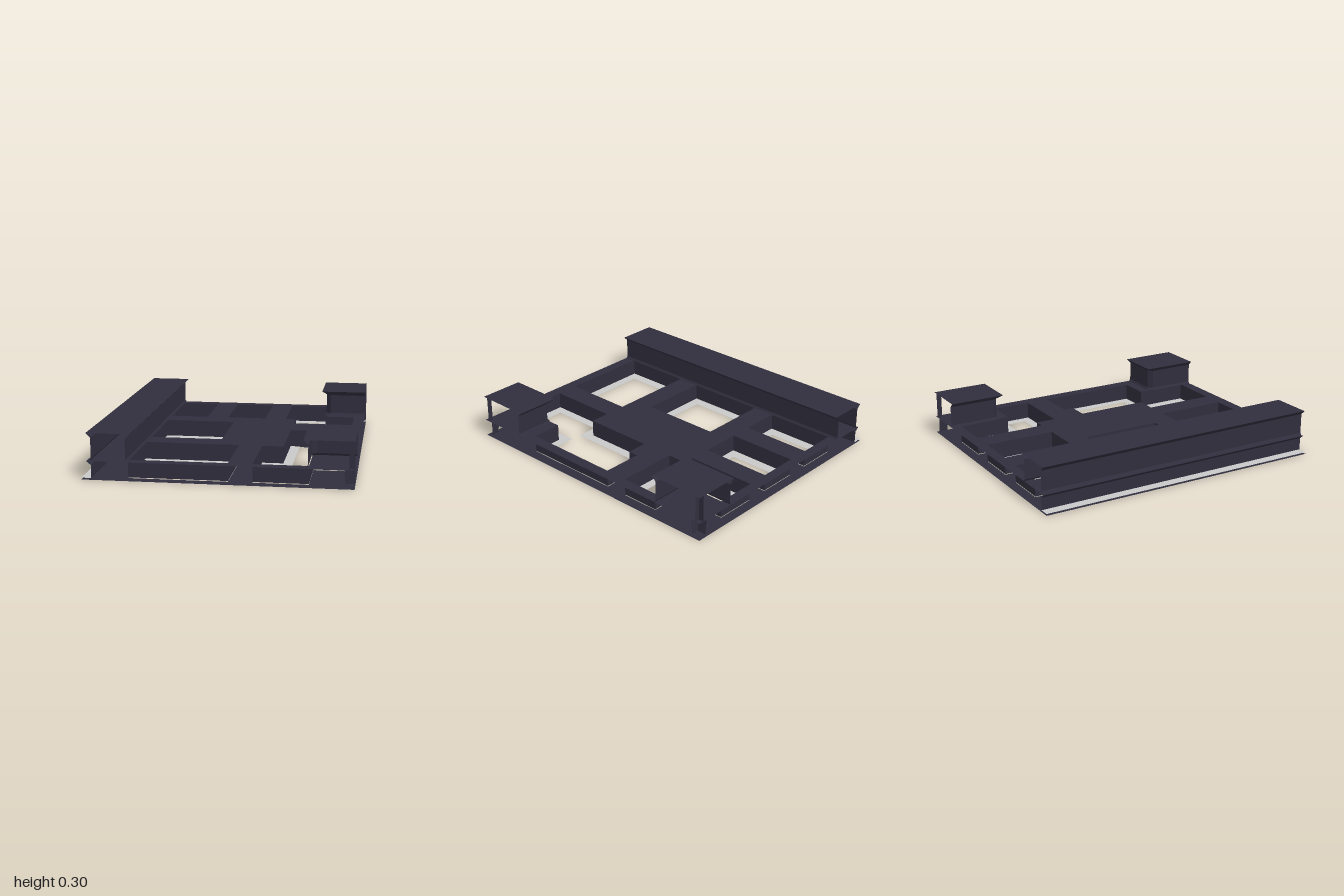
import * as THREE from 'three';

const dark = new THREE.MeshStandardMaterial({ color: 0x302e3d, side: THREE.DoubleSide });
dark.name = 'darkSlate';
const light = new THREE.MeshStandardMaterial({ color: 0xc8c8c8, side: THREE.DoubleSide });
light.name = 'lightGrey';

const X = 0.855; // half width
const rect = (x0, z0, x1, z1) => [[x0, z0], [x1, z0], [x1, z1], [x0, z1]];

// Each opening: outer wall outline and inner edge of its pale rim
const openings = [
  [rect(-0.57, -0.93, -0.295, -0.44), rect(-0.5, -0.86, -0.36, -0.5)],
  [rect(-0.14, -0.93, 0.135, -0.44), rect(-0.07, -0.86, 0.07, -0.5)],
  [rect(-0.57, -0.285, -0.075, 0.275), rect(-0.5, -0.22, -0.14, 0.21)],
  [rect(-0.57, 0.43, 0.065, 0.925), rect(-0.5, 0.5, 0, 0.86)],
  [
    [[0.285, -0.93], [0.57, -0.93], [0.57, -0.565], [0.78, -0.565], [0.78, -0.3], [0.36, -0.3], [0.36, -0.44], [0.285, -0.44]],
    [[0.35, -0.86], [0.5, -0.86], [0.5, -0.5], [0.715, -0.5], [0.715, -0.36], [0.425, -0.36], [0.425, -0.5], [0.35, -0.5]],
  ],
  [
    [[0.22, 0.43], [0.36, 0.43], [0.36, -0.07], [0.505, -0.07], [0.505, -0.14], [0.78, -0.14], [0.78, 0.56], [0.57, 0.56], [0.57, 0.925], [0.22, 0.925]],
    [[0.28, 0.5], [0.425, 0.5], [0.425, -0.07], [0.715, -0.07], [0.715, 0.5], [0.5, 0.5], [0.5, 0.86], [0.28, 0.86]],
  ],
];

// Flat horizontal sheet with optional holes
function sheet(name, outline, y, material, holes = []) {
  const toPoints = (pts) => pts.map(([x, z]) => new THREE.Vector2(x, -z));
  const shape = new THREE.Shape(toPoints(outline));
  shape.holes = holes.map((h) => new THREE.Path(toPoints(h)));
  const mesh = new THREE.Mesh(new THREE.ShapeGeometry(shape).rotateX(-Math.PI / 2).translate(0, y, 0), material);
  mesh.name = name;
  return mesh;
}

// Flat-faced wall through a stack of [y, plan path] levels, lowest first
function wall(name, levels, closed = false) {
  const pos = [];
  for (let l = 0; l < levels.length - 1; l++) {
    const [y0, p] = levels[l], [y1, q] = levels[l + 1];
    const n = p.length;
    for (let i = 0; i < (closed ? n : n - 1); i++) {
      const j = (i + 1) % n;
      const a = [p[i][0], y0, p[i][1]], b = [p[j][0], y0, p[j][1]];
      const c = [q[j][0], y1, q[j][1]], d = [q[i][0], y1, q[i][1]];
      pos.push(...a, ...b, ...c, ...a, ...c, ...d);
    }
  }
  const geo = new THREE.BufferGeometry();
  geo.setAttribute('position', new THREE.Float32BufferAttribute(pos, 3));
  geo.computeVertexNormals();
  const mesh = new THREE.Mesh(geo, dark);
  mesh.name = name;
  return mesh;
}

export function createModel() {
  const model = new THREE.Group();
  model.name = 'blockLayout';
  const outers = openings.map((o) => o[0]);

  // Floor, raised deck and pale edge strip
  model.add(sheet('floor', rect(-X, -1, X, 1), 0, dark, outers));
  model.add(sheet('deck', rect(-0.82, -1, X, 1), 0.12, dark, outers));
  model.add(sheet('edgeStrip', rect(-X, -1, -0.79, 1), 0.012, light));

  // Openings with their rims
  for (const [outer, inner] of openings) {
    model.add(wall('openingWall', [[0.005, outer], [0.12, outer]], true));
    model.add(sheet('openingRim', outer, 0.005, light, [inner]));
  }

  // Long raised block along one side, with flared eaves
  const long = new THREE.Group();
  long.name = 'longBlock';
  const inside = (x) => [[x, 1], [x, -1]];
  const outside = (x) => [[x, -1], [x, 1]];
  long.add(wall('innerWall', [[0.12, inside(-0.56)], [0.135, inside(-0.57)], [0.27, inside(-0.57)], [0.3, inside(-0.54)]]));
  long.add(wall('outerWall', [[0.12, outside(-0.8)], [0.135, outside(-0.79)], [0.27, outside(-0.79)], [0.3, outside(-0.82)]]));
  long.add(wall('deckSideWall', [[0.012, outside(-0.79)], [0.095, outside(-0.79)], [0.12, outside(-0.82)]]));
  long.add(sheet('roof', rect(-0.82, -1, -0.54, 1), 0.3, dark));
  model.add(long);

  // Two mirrored corner blocks
  for (const s of [-1, 1]) {
    const block = new THREE.Group();
    block.name = s < 0 ? 'backCornerBlock' : 'frontCornerBlock';
    const order = (pts) => (s < 0 ? pts : pts.reverse());
    const path = (o, b) => {
      const x = 0.57 - o, z = 0.64 - o;
      return order([[x, s], [x, s * (z + b)], [x + b, s * z], [X, s * z]]);
    };
    block.add(wall('cornerWall', [[0.12, path(0.01, 0.03)], [0.135, path(0, 0.03)], [0.27, path(0, 0.03)], [0.3, path(0.03, 0)]]));
    const [za, zb] = [s, s * 0.61].sort((a, b) => a - b);
    block.add(sheet('roof', rect(0.54, za, X, zb), 0.3, dark));
    // Corner post, wider below the deck
    const post = (x, z) => order([[x, s], [x, s * z], [X, s * z]]);
    block.add(wall('lowerPost', [[0.02, post(0.8, 0.94)], [0.12, post(0.79, 0.93)]]));
    block.add(wall('upperPost', [[0.12, post(0.82, 0.965)], [0.3, post(0.82, 0.965)]]));
    model.add(block);
  }
  return model;
}
